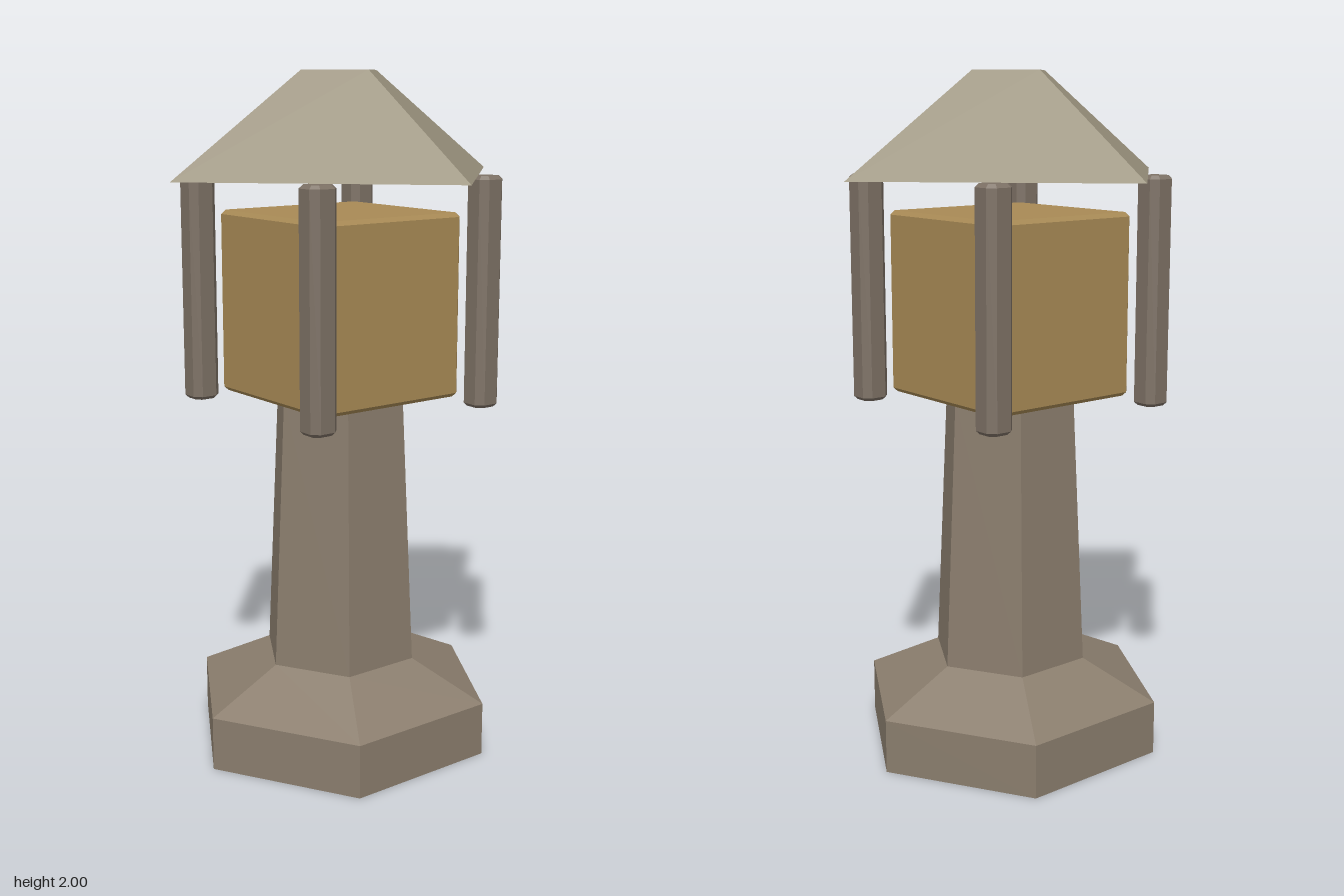
import * as THREE from 'three';

const material = (color) => new THREE.MeshStandardMaterial({ color, flatShading: true });

// Upright block centred on the y axis: corners cut in plan, both ends bevelled
function chamferedBlock(width, y0, y1, cut, bevel) {
  const h = width / 2, c = h - cut;
  const plan = new THREE.Shape(
    [[h, -c], [h, c], [c, h], [-c, h], [-h, c], [-h, -c], [-c, -h], [c, -h]]
      .map(([x, y]) => new THREE.Vector2(x, y)));
  const geometry = new THREE.ExtrudeGeometry(plan, {
    depth: y1 - y0 - 2 * bevel,
    bevelThickness: bevel, bevelSize: bevel, bevelOffset: -bevel, bevelSegments: 1,
  });
  return geometry.rotateX(-Math.PI / 2).translate(0, y0 + bevel, 0);
}

export function createModel() {
  const model = new THREE.Group();
  model.name = 'stoneLantern';
  const stone = material(0x8a7d6d);
  const postStone = material(0x7d7165);
  const roofStone = material(0x9a927d);
  const lampWood = material(0xa88a55);

  const add = (name, geometry, mat) => {
    const mesh = new THREE.Mesh(geometry, mat);
    mesh.name = name;
    model.add(mesh);
    return mesh;
  };

  // Hexagonal foot, sloped shoulder and tapering column in one profile
  const profile = [[0, 0], [0.463, 0], [0.463, 0.16], [0.238, 0.27], [0.2, 1.075], [0, 1.075]]
    .map(([r, y]) => new THREE.Vector2(r, y));
  add('pedestal', new THREE.LatheGeometry(profile, 6).rotateY(Math.PI / 6), stone);

  // Lamp box
  add('lampBox', chamferedBlock(0.5, 1.07, 1.605, 0.012, 0.012), lampWood);

  // Four corner posts
  const post = chamferedBlock(0.087, 1.045, 1.71, 0.02, 0.01);
  for (const x of [-1, 1]) {
    for (const z of [-1, 1]) {
      add('cornerPost', post, postStone).position.set(x * 0.294, 0, z * 0.294);
    }
  }

  // Four-sided roof with a flat top, its corners facing the axes
  const roof = new THREE.CylinderGeometry(0.133, 0.56, 0.29, 4).translate(0, 1.855, 0);
  add('roof', roof, roofStone);

  return model;
}
